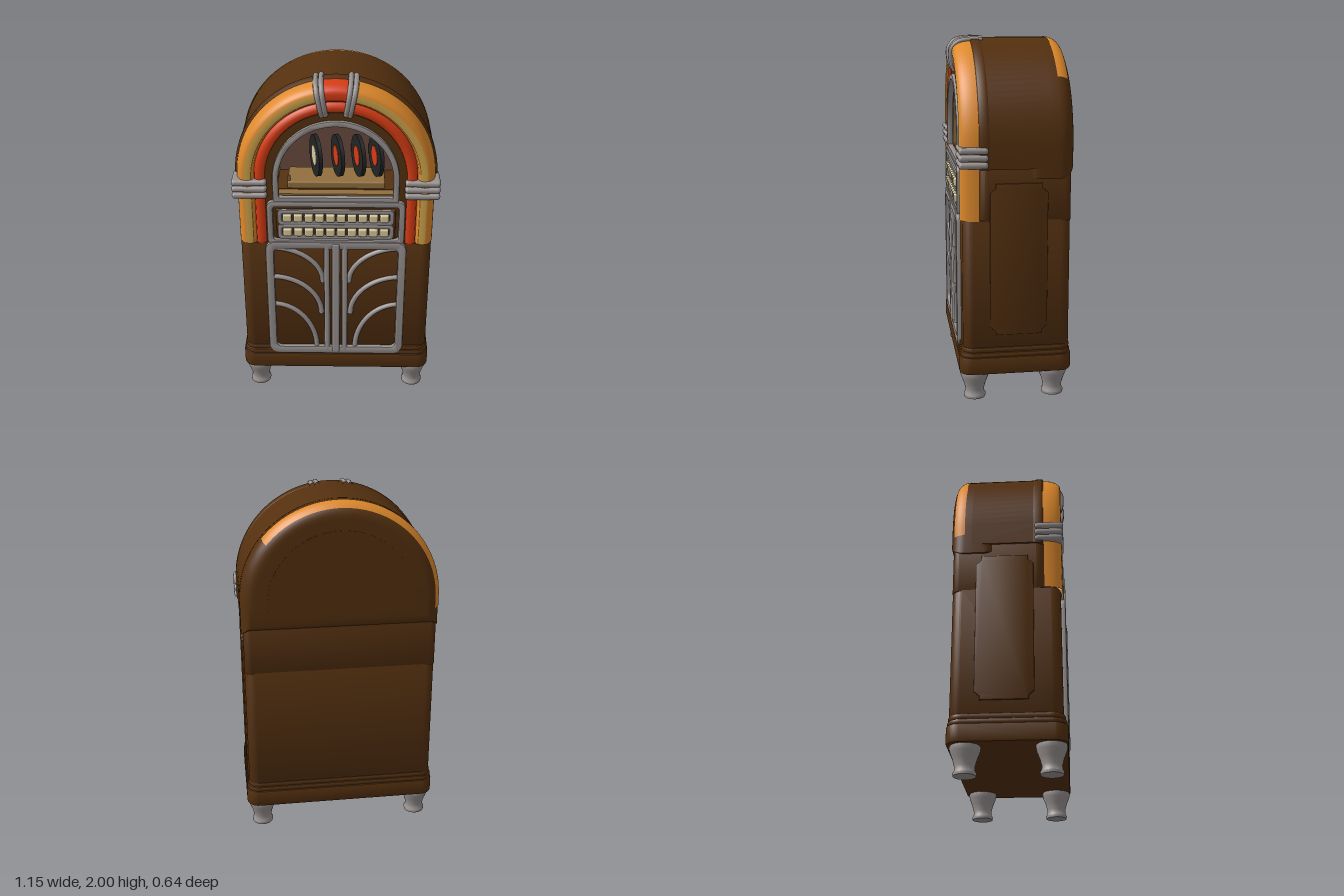
import * as THREE from 'three';
import { toCreasedNormals } from 'three/addons/utils/BufferGeometryUtils.js';
import { RoundedBoxGeometry } from 'three/addons/geometries/RoundedBoxGeometry.js';

const CY = 1.43; // centre height of every arch
const mat = (name, color) => Object.assign(new THREE.MeshStandardMaterial({ color, side: THREE.DoubleSide }), { name });

export function createModel() {
  const root = new THREE.Group();
  root.name = 'jukebox';
  const wood = mat('brown wood', 0x54300f), orange = mat('orange plastic', 0xdf8a2c);
  const yellow = mat('yellow plastic', 0xcda34c), red = mat('red plastic', 0xd63c14);
  const metal = mat('grey metal', 0x989290), cream = mat('cream button', 0xd6c99e);
  const black = mat('black vinyl', 0x222324), tan = mat('tan interior', 0x92703f);
  const wall = mat('dusky back wall', 0x6b4a3e);

  const add = (name, geo, m, x = 0, y = 0, z = 0) => {
    const mesh = new THREE.Mesh(geo, m);
    mesh.name = name;
    mesh.position.set(x, y, z);
    root.add(mesh);
    return mesh;
  };
  // Arched outline: half circle on straight sides
  const arch = (r, bottom, C = THREE.Shape) => {
    const s = new C();
    s.moveTo(-r, bottom); s.lineTo(r, bottom); s.lineTo(r, CY);
    s.absarc(0, CY, r, 0, Math.PI, false);
    s.lineTo(-r, bottom);
    return s;
  };
  const roundRect = (x0, y0, x1, y1, r, C = THREE.Shape) => {
    const s = new C();
    s.absarc(x1 - r, y0 + r, r, -Math.PI / 2, 0, false);
    s.absarc(x1 - r, y1 - r, r, 0, Math.PI / 2, false);
    s.absarc(x0 + r, y1 - r, r, Math.PI / 2, Math.PI, false);
    s.absarc(x0 + r, y0 + r, r, Math.PI, Math.PI * 1.5, false);
    s.closePath();
    return s;
  };
  const extrude = (shape, depth, bevel = 0) => toCreasedNormals(new THREE.ExtrudeGeometry(shape, {
    depth: depth - 2 * bevel, curveSegments: 24, bevelEnabled: bevel > 0,
    bevelSize: bevel, bevelThickness: bevel, bevelSegments: bevel > 0.03 ? 8 : 2,
  }).translate(0, 0, bevel), 0.6);
  const prism = (name, w, z0, z1, r, y0, y1, bevel) => add(name,
    extrude(roundRect(-w + bevel, -z1 + bevel, w - bevel, -z0 - bevel, r), y1 - y0, bevel).rotateX(-Math.PI / 2), wood, 0, y0);
  const frame = (name, x0, y0, x1, y1, r, t, z, d) => {
    const s = roundRect(x0, y0, x1, y1, r);
    s.holes.push(roundRect(x0 + t, y0 + t, x1 - t, y1 - t, r * 0.7, THREE.Path));
    add(name, extrude(s, d, 0.006), metal, 0, 0, z);
  };
  // Sweep a (radius, z) profile along the arch; u is degrees, beyond 0..180 it runs down the sides
  const sweep = (name, profile, u0, u1, m) => {
    const n = Math.ceil((u1 - u0) / 3), k = profile.length, pos = [], idx = [];
    for (let i = 0; i <= n; i++) {
      const u = u0 + (u1 - u0) * i / n, a = THREE.MathUtils.degToRad(Math.min(180, Math.max(0, u)));
      const drop = u < 0 ? u * 0.01 : u > 180 ? (180 - u) * 0.01 : 0;
      profile.forEach(([r, z], j) => {
        pos.push(r * Math.cos(a), CY + r * Math.sin(a) + drop, z);
        if (i < n && j < k - 1) {
          const p = i * k + j;
          idx.push(p, p + k, p + 1, p + 1, p + k, p + k + 1);
        }
      });
    }
    const g = new THREE.BufferGeometry();
    g.setAttribute('position', new THREE.Float32BufferAttribute(pos, 3));
    g.setIndex(idx);
    g.computeVertexNormals();
    add(name, g, m);
  };
  const tube = (name, pts, r, m, seg = 20) => add(name,
    new THREE.TubeGeometry(new THREE.CatmullRomCurve3(pts), seg, r, 8), m);

  // Plinth and lower cabinet
  prism('plinth', 0.562, -0.318, 0.312, 0.06, 0.155, 0.255, 0.01);
  prism('plinthMoulding', 0.558, -0.313, 0.307, 0.06, 0.25, 0.283, 0.012);
  prism('plinthMoulding', 0.552, -0.31, 0.3, 0.06, 0.278, 0.312, 0.012);
  prism('lowerCabinet', 0.545, -0.305, 0.29, 0.055, 0.3, 1.03, 0.002);
  prism('middleCabinet', 0.545, -0.305, 0.2, 0.04, 1.02, 1.33, 0.002);

  // Arched upper cabinet: rounded back, hollow middle, front plate
  add('archBack', extrude(arch(0.476, 1.335), 0.27, 0.08), wood, 0, 0, -0.32);
  const shell = arch(0.557, 1.31);
  shell.holes.push(arch(0.335, 1.312, THREE.Path));
  add('archShell', extrude(shell, 0.395), wood, 0, 0, -0.2);
  const face = arch(0.392, 1.0);
  face.holes.push(arch(0.335, 1.312, THREE.Path));
  add('frontPlate', extrude(face, 0.09), wood, 0, 0, 0.19);
  add('backPanel', extrude(arch(0.41, 1.37), 0.003), wood, 0, 0, -0.322);
  sweep('archRim', [[0.556, 0.145], [0.562, 0.155], [0.562, 0.195], [0.545, 0.203]], -12, 192, wood);

  // Coloured light tubes
  const outer = [];
  for (let i = 0; i <= 8; i++) {
    const a = i / 8 * Math.PI / 2;
    outer.push([0.503 + 0.048 * Math.cos(a), 0.2 + 0.1 * Math.sin(a)]);
  }
  const stripe = [[0.503, 0.3], [0.485, 0.302], [0.466, 0.298]];
  const inner = [[0.466, 0.298], [0.456, 0.288], [0.45, 0.26]];
  for (const [u0, u1] of [[-40, 81], [99, 220]]) {
    sweep('outerLightTube', outer, u0, u1, orange);
    sweep('lightTubeStripe', stripe, u0, u1, yellow);
    sweep('lightTubeInnerEdge', inner, u0, u1, orange);
  }
  sweep('crownPanel', [...outer, ...stripe, ...inner], 80, 100, red);
  sweep('innerLightTube', [[0.453, 0.26], [0.445, 0.285], [0.42, 0.296], [0.396, 0.285], [0.386, 0.26]], -40, 220, red);

  // Glowing band on the rounded back edge
  const band = [];
  for (let i = 0; i <= 6; i++) {
    const a = i / 6 * 0.9;
    band.push([0.476 + 0.083 * Math.cos(a), -0.24 - 0.083 * Math.sin(a)]);
  }
  sweep('backLightBand', band, 40, 186, orange);

  // Window frame and interior
  const win = arch(0.343, 1.3);
  win.holes.push(arch(0.322, 1.318, THREE.Path));
  add('windowFrame', extrude(win, 0.035, 0.006), metal, 0, 0, 0.265);
  add('windowBackWall', new THREE.ShapeGeometry(arch(0.334, 1.312), 24), wall, 0, 0, -0.045);
  sweep('windowLining', [[0.333, -0.045], [0.333, 0.26]], -11.5, 191.5, tan);
  for (let i = 0; i < 16; i++) {
    const a = (i + 0.5) / 16 * Math.PI;
    add('liningRib', new THREE.BoxGeometry(0.012, 0.025, 0.24), yellow,
      0.327 * Math.cos(a), CY + 0.327 * Math.sin(a), 0.08).rotation.z = a;
  }
  add('windowFloor', new THREE.BoxGeometry(0.66, 0.012, 0.3), tan, 0, 1.32, 0.105);
  add('recordTray', new RoundedBoxGeometry(0.55, 0.05, 0.2, 2, 0.01), tan, 0, 1.343, 0.09);
  add('trayPost', new THREE.CylinderGeometry(0.008, 0.008, 0.07, 8), tan, -0.265, 1.365, 0.17);

  // Records standing in the tray, with a label on each side
  [-0.115, 0.008, 0.125, 0.225].forEach((x, i) => {
    const record = new THREE.Group();
    record.name = 'record';
    const disc = (r, t, m, off) => {
      const d = new THREE.Mesh(new THREE.CylinderGeometry(r, r, t, 32).rotateZ(Math.PI / 2), m);
      d.name = m === black ? 'recordDisc' : 'recordLabel';
      d.position.x = off;
      record.add(d);
    };
    disc(0.12, 0.022, black, 0);
    disc(0.058, 0.004, i ? red : cream, -0.012);
    disc(0.058, 0.004, red, 0.012);
    record.position.set(x, 1.487, 0.09);
    record.rotation.y = 0.27;
    root.add(record);
  });

  // Selector panel
  frame('selectorFrame', -0.38, 1.03, 0.38, 1.295, 0.03, 0.022, 0.272, 0.035);
  add('selectorPlate', new RoundedBoxGeometry(0.67, 0.19, 0.02, 2, 0.008), wood, 0, 1.152, 0.28);
  for (const y of [1.198, 1.107]) {
    frame('buttonRowFrame', -0.32, y - 0.041, 0.32, y + 0.041, 0.018, 0.012, 0.28, 0.022);
    for (let i = 0; i < 10; i++) {
      add('selectorButton', new RoundedBoxGeometry(0.05, 0.048, 0.034, 2, 0.01), cream, (i - 4.5) * 0.0605, y, 0.298);
    }
  }

  // Lower grille: frame, centre bars and sweeping ribs
  frame('grilleFrame', -0.395, 0.272, 0.395, 1.04, 0.05, 0.034, 0.28, 0.034);
  for (const x of [-0.052, 0, 0.052]) {
    add('grilleCentreBar', new RoundedBoxGeometry(x ? 0.032 : 0.046, x ? 0.75 : 0.765, 0.04, 2, 0.012), metal, x, 0.655, x ? 0.295 : 0.3);
  }
  for (const s of [-1, 1]) {
    [[1.0, 0.77, 0.075], [0.805, 0.55, 0.085], [0.615, 0.3, 0.115]].forEach(([y0, y1, xe]) => {
      const pts = [];
      for (let i = 0; i <= 8; i++) {
        const a = i / 8 * Math.PI / 2;
        pts.push(new THREE.Vector3(s * (0.375 - (0.375 - xe) * Math.sin(a)), y1 + (y0 - y1) * Math.cos(a), 0.293));
      }
      tube('grilleRib', pts, 0.015, metal);
    });

    // Side clamps
    for (const y of [1.335, 1.374, 1.413]) {
      add('sideClampBar', new RoundedBoxGeometry(0.195, 0.036, 0.16, 3, 0.017), metal, s * 0.478, y, 0.232);
    }
    // Crown clamps curling over the top
    for (const deg of [8.3, 11.3]) {
      const a = THREE.MathUtils.degToRad(90 - s * deg);
      tube('crownClamp', [[0.38, 0.285], [0.43, 0.302], [0.5, 0.303], [0.542, 0.27], [0.557, 0.21], [0.557, 0.13]]
        .map(([r, z]) => new THREE.Vector3(r * Math.cos(a), CY + r * Math.sin(a), z)), 0.0145, metal, 28);
    }

    // Side panel with stepped corners
    const h = 0.155, n = 0.03, panel = new THREE.Shape([[-h + n, 0.385], [h - n, 0.385], [h - n, 0.405], [h, 0.43], [h, 1.18],
      [h - n, 1.205], [h - n, 1.23], [-h + n, 1.23], [-h + n, 1.205], [-h, 1.18], [-h, 0.43], [-h + n, 0.405]]
      .map(p => new THREE.Vector2(...p)));
    add('sidePanel', extrude(panel, 0.014, 0.003).rotateY(s * Math.PI / 2), wood, s * 0.54, 0, -0.015);

    // Turned feet
    for (const z of [-0.22, 0.225]) {
      const profile = [[0, 0], [0.06, 0], [0.062, 0.015], [0.054, 0.028], [0.053, 0.05], [0.064, 0.09], [0.078, 0.125], [0.082, 0.145], [0.08, 0.16], [0, 0.16]];
      add('foot', toCreasedNormals(new THREE.LatheGeometry(profile.map(p => new THREE.Vector2(...p)), 24), 0.7), metal, s * 0.472, 0, z);
    }
  }
  return root;
}
